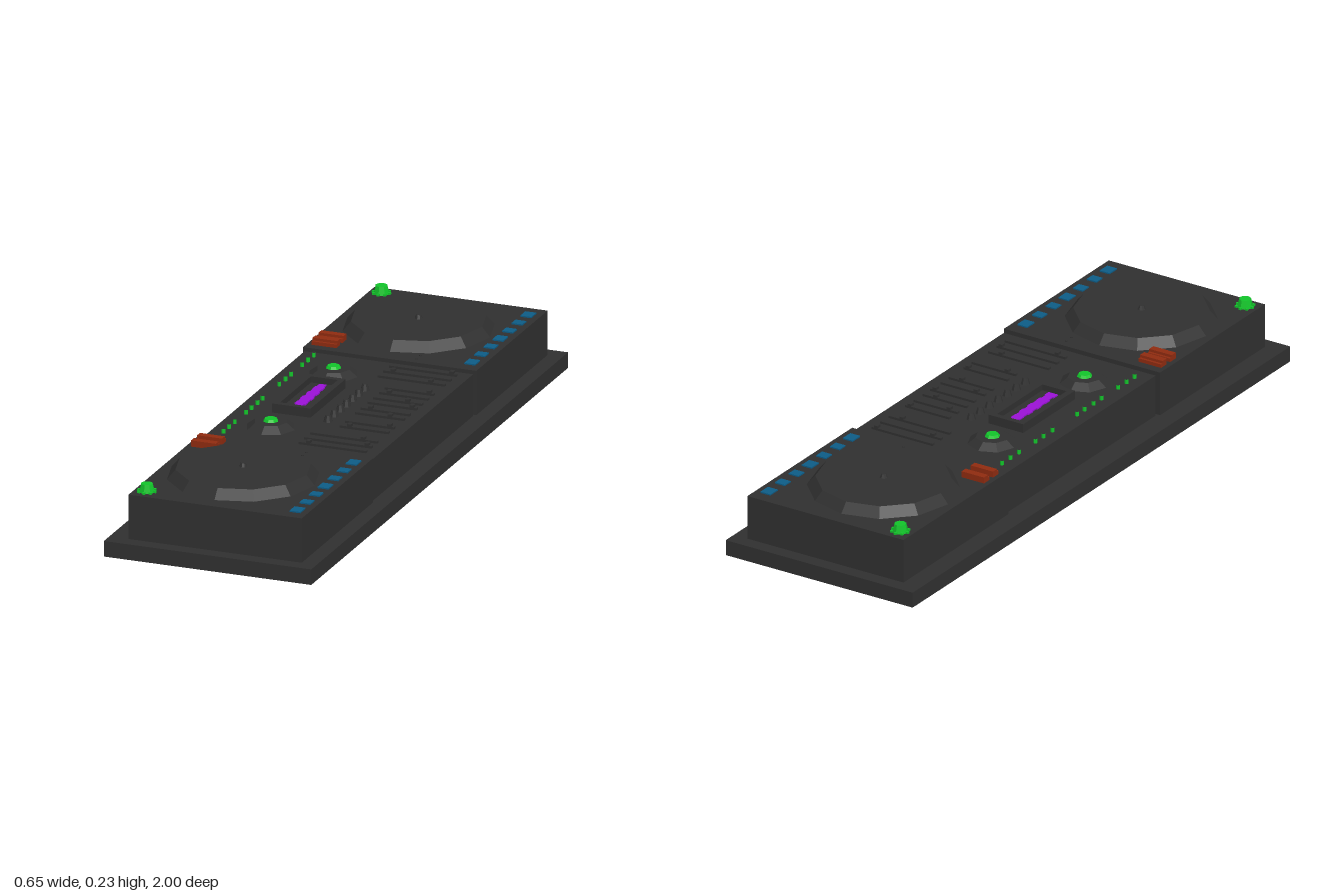
import * as THREE from 'three';

const mat = (name, color) => {
  const m = new THREE.MeshStandardMaterial({ color, flatShading: true });
  m.name = name;
  return m;
};

export function createModel() {
  const body = mat('charcoal', 0x303030);
  const green = mat('green', 0x12c42a);
  const blue = mat('blue', 0x0d5c86);
  const red = mat('rust red', 0x8f2b10);
  const purple = mat('purple', 0x9a12d6);

  const model = new THREE.Group();
  model.name = 'mixingConsole';

  const add = (name, geo, material, x, y, z, parent = model) => {
    const m = new THREE.Mesh(geo, material);
    m.name = name;
    m.position.set(x, y, z);
    parent.add(m);
    return m;
  };
  // box given by its limits on each axis
  const box = (name, material, x0, x1, y0, y1, z0, z1, parent) =>
    add(name, new THREE.BoxGeometry(x1 - x0, y1 - y0, z1 - z0), material,
      (x0 + x1) / 2, (y0 + y1) / 2, (z0 + z1) / 2, parent);
  // tapered round part standing on y0
  const knob = (name, material, rTop, rBottom, y0, y1, sides, x, z, parent) =>
    add(name, new THREE.CylinderGeometry(rTop, rBottom, y1 - y0, sides), material,
      x, (y0 + y1) / 2, z, parent);

  const deckTop = 0.185, mixTop = 0.177;

  // base and mixer housing
  box('base', body, -0.325, 0.325, 0, 0.048, -1, 1);
  box('mixerBody', body, -0.256, 0.272, 0.048, mixTop, -0.392, 0.392);

  // two decks, mirrored front to back
  for (const s of [-1, 1]) {
    const deck = new THREE.Group();
    deck.name = s > 0 ? 'frontDeck' : 'backDeck';
    model.add(deck);
    const zBox = (name, m, x0, x1, y0, y1, a, b) =>
      box(name, m, x0, x1, y0, y1, Math.min(s * a, s * b), Math.max(s * a, s * b), deck);

    zBox('deckBody', body, -0.265, 0.278, 0.048, deckTop, 0.402, 0.957);

    // platter and spindle
    knob('platter', body, 0.199, 0.224, deckTop, 0.214, 12, -0.016, s * 0.683, deck);
    knob('spindle', body, 0.007, 0.012, 0.214, 0.226, 8, -0.016, s * 0.683, deck);

    // corner knob with a ring of grip teeth
    knob('cornerKnob', green, 0.018, 0.024, deckTop, 0.211, 8, -0.225, s * 0.913, deck);
    for (let i = 0; i < 8; i++) {
      const a = (i * Math.PI) / 4;
      box('knobTooth', green, -0.004, 0.004, deckTop, 0.191, -0.004, 0.004, deck)
        .position.set(-0.225 + 0.025 * Math.cos(a), 0.188, s * 0.913 + 0.025 * Math.sin(a));
    }

    // pad buttons along the edge
    for (let i = 0; i < 7; i++) {
      const z = 0.462 + i * 0.0727;
      const h = i % 3 === 0 ? 0.02 : 0.016;
      zBox('padButton', blue, 0.224, 0.258, deckTop, 0.189, z - h, z + h);
    }

    // stepped transport keys
    for (const z of [0.445, 0.493]) {
      zBox('transportKey', red, -0.25, -0.172, deckTop, 0.196, z - 0.015, z + 0.015);
      zBox('transportKeyStep', red, -0.25, -0.172, 0.196, 0.204, z - 0.007, z + 0.015);
    }

    // small indicator pins
    for (const z of [0.43, 0.46]) knob('pin', body, 0.004, 0.004, deckTop, 0.188, 6, 0.08, s * z, deck);

    // large mixer knob with a coloured cap
    knob('mixerKnob', body, 0.05, 0.075, mixTop, 0.196, 8, -0.106, s * 0.244);
    knob('mixerKnobCap', green, 0.018, 0.023, 0.196, 0.204, 8, -0.106, s * 0.244);
  }

  // display: open frame, sunken screen and waveform
  const frame = new THREE.Shape([[-0.06, -0.137], [0.06, -0.137], [0.06, 0.137], [-0.06, 0.137]]
    .map(p => new THREE.Vector2(...p)));
  frame.holes.push(new THREE.Path([[-0.042, -0.12], [-0.042, 0.12], [0.042, 0.12], [0.042, -0.12]]
    .map(p => new THREE.Vector2(...p))));
  const frameGeo = new THREE.ExtrudeGeometry(frame, { depth: 0.028, bevelEnabled: false });
  frameGeo.rotateX(-Math.PI / 2);
  add('displayFrame', frameGeo, body, -0.088, mixTop, -0.008);
  box('displayScreen', body, -0.13, -0.046, mixTop, 0.186, -0.128, 0.112);
  const widths = [0.011, 0.015, 0.013, 0.017, 0.014, 0.018, 0.015, 0.017, 0.012, 0.016];
  widths.forEach((w, i) => {
    const z = -0.117 + i * 0.0223;
    box('waveform', purple, -0.088 - w, -0.088 + w, 0.186, 0.19, z, z + 0.0223);
  });

  // row of small round controls
  for (let i = 0; i < 7; i++)
    knob('smallKnob', body, 0.008, 0.014, mixTop, 0.197, 8, 0.031, -0.148 + i * 0.0478);

  // sliders: long ones at both ends, short ones between
  const rows = [-0.358, -0.313, -0.268, -0.181, -0.138, -0.09, -0.048, 0.006, 0.048,
    0.127, 0.17, 0.257, 0.302, 0.345];
  rows.forEach((z, i) => {
    const x0 = Math.abs(z) > 0.2 ? 0.024 : 0.082;
    box('sliderTrack', body, x0, 0.235, mixTop, 0.184, z - 0.006, z + 0.006);
    const x = i % 3 === 2 ? 0.19 : i % 3 === 1 ? x0 + 0.03 : 0.22;
    box('sliderHandle', body, x - 0.006, x + 0.006, 0.184, 0.192, z - 0.008, z + 0.008);
  });

  // edge lights: coloured sides under dark tops
  for (const z of [-0.358, -0.313, -0.268, -0.181, -0.138, -0.09, 0.04, 0.08, 0.127,
    0.17, 0.257, 0.302, 0.345])
    knob('edgeLight', [green, body, body], 0.006, 0.006, mixTop, 0.191, 8, -0.214, z);

  return model;
}
